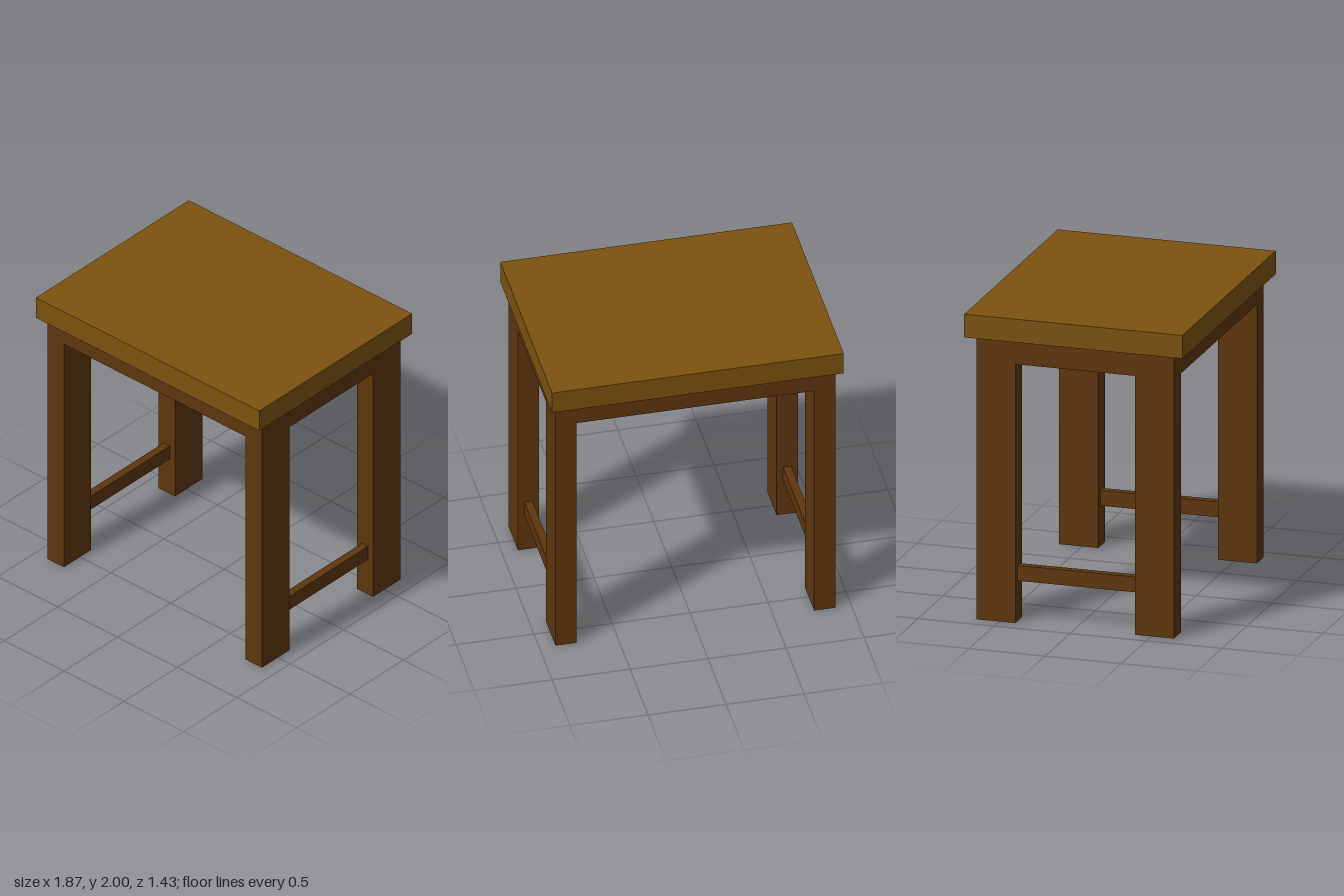
import * as THREE from 'three';

const topWood = new THREE.MeshStandardMaterial({ color: 0x7c520f });
const frameWood = new THREE.MeshStandardMaterial({ color: 0x5f360e });

// Box given by its size, centre x/z and bottom height
function addBox(parent, name, material, [w, h, d], [x, bottom, z]) {
  const mesh = new THREE.Mesh(new THREE.BoxGeometry(w, h, d), material);
  mesh.name = name;
  mesh.position.set(x, bottom + h / 2, z);
  parent.add(mesh);
}

export function createModel() {
  const table = new THREE.Group();
  table.name = 'table';

  // Overhanging slab on a solid apron block
  addBox(table, 'tableTop', topWood, [1.87, 0.152, 1.434], [0, 1.848, 0]);
  addBox(table, 'apron', frameWood, [1.794, 0.155, 1.3], [0, 1.693, 0]);

  for (const side of [1, -1]) {
    const sideName = side > 0 ? 'left' : 'right';

    // Legs flush with the apron corners
    for (const end of [1, -1]) {
      const endName = end > 0 ? 'Front' : 'Back';
      addBox(table, `${sideName}${endName}Leg`, frameWood,
        [0.136, 1.693, 0.257], [side * 0.829, 0, end * 0.5215]);
    }

    // Low stretcher joining the front and back legs
    addBox(table, `${sideName}Stretcher`, frameWood,
      [0.052, 0.1, 0.786], [side * 0.829, 0.264, 0]);
  }

  return table;
}
